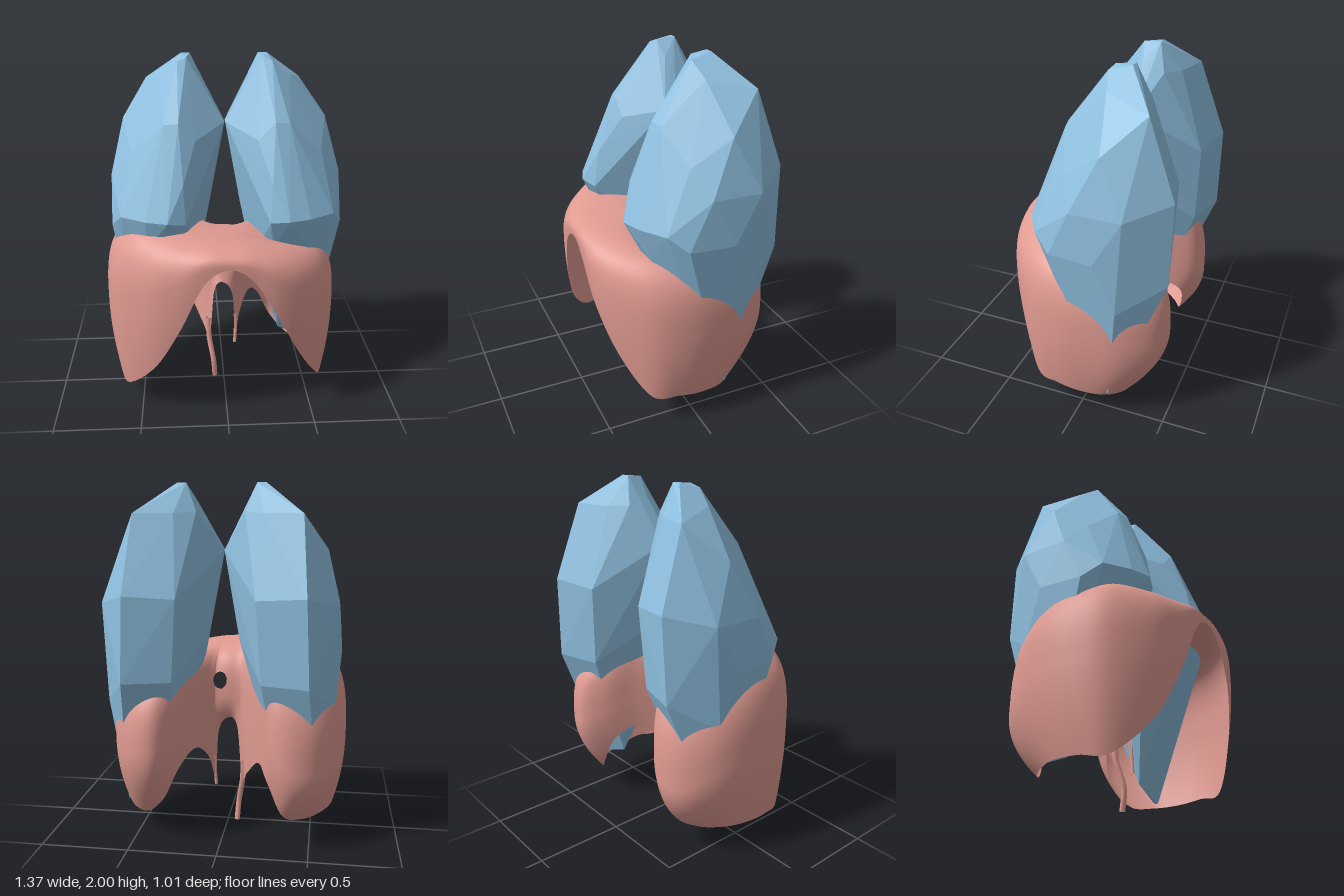
import * as THREE from 'three';
import { ConvexGeometry } from 'three/addons/geometries/ConvexGeometry.js';

const blue = new THREE.MeshStandardMaterial({ color: 0x8fc0e0 });
blue.name = 'lungBlue';
const pink = new THREE.MeshStandardMaterial({ color: 0xe09b92, side: THREE.DoubleSide });
pink.name = 'muscleRose';

// Faceted lung: corner points of the left side, mirrored for the right
const LUNG = [
  [0.2, 2.0, -0.2], [0.25, 2.0, -0.2], [0.22, 1.99, -0.1], [0.27, 1.97, -0.08], [0.15, 1.9, -0.12],
  [0.14, 1.85, -0.24], [0.25, 1.84, -0.31], [0.46, 1.84, -0.36], [0.37, 1.89, -0.11], [0.18, 1.58, 0.13],
  [0.27, 1.68, 0.14], [0.35, 1.67, 0.125], [0.25, 1.37, 0.255], [0.01, 1.64, -0.12], [0.01, 1.64, -0.06],
  [0.59, 1.65, -0.16], [0.54, 1.5, 0.05], [0.22, 1.4, -0.45], [0.49, 1.42, -0.51],
  [0.51, 0.95, -0.5], [0.25, 0.95, -0.43], [0.66, 1.36, -0.3], [0.66, 1.36, -0.02], [0.68, 1.1, -0.15],
  [0.66, 1.1, 0.1], [0.6, 1.18, 0.2], [0.34, 1.18, 0.33], [0.46, 1.18, 0.29], [0.24, 1.16, 0.29],
  [0.1, 1.16, -0.06], [0.1, 1.15, -0.16], [0.46, 1.0, 0.23], [0.28, 1.0, 0.22], [0.17, 0.82, -0.03],
  [0.65, 0.8, -0.26], [0.57, 0.17, -0.19], [0.56, 0.17, -0.16], [0.36, 0.25, -0.17]
];

function lung(side, name) {
  const pts = LUNG.map(([x, y, z]) => new THREE.Vector3(side > 0 ? x : 0.015 - x * 0.985, y, z));
  const mesh = new THREE.Mesh(new ConvexGeometry(pts), blue);
  mesh.name = name;
  return mesh;
}

// Diaphragm stations around the body: x, z of the widest point, its height, rim height, inward tuck
const LEFT = [
  [0, 0.5, 0.99, 0.985, 0], [0.13, 0.5, 0.97, 0.92, 0], [0.28, 0.49, 0.85, 0.68, 0.04],
  [0.43, 0.42, 0.72, 0.41, 0.1], [0.58, 0.27, 0.6, 0.18, 0.12], [0.64, 0.1, 0.58, 0.17, 0.15],
  [0.645, -0.08, 0.6, 0.15, 0.17], [0.61, -0.28, 0.58, 0.14, 0.2], [0.5, -0.44, 0.56, 0.14, 0.25],
  [0.36, -0.48, 0.56, 0.25, 0.2], [0.25, -0.38, 0.62, 0.43, 0.1], [0.17, -0.22, 0.7, 0.51, 0.05],
  [0.11, -0.12, 0.75, 0.42, 0.1], [0.078, -0.08, 0.78, 0.27, 0.15], [0.06, -0.07, 0.78, 0.56, 0.15]
];
const RIGHT = [
  [0, -0.07, 0.8, 0.65, 0.15], [-0.06, -0.07, 0.78, 0.6, 0.15], [-0.093, -0.08, 0.78, 0.28, 0.15],
  [-0.135, -0.13, 0.75, 0.34, 0.1], [-0.21, -0.26, 0.7, 0.45, 0.05], [-0.28, -0.42, 0.62, 0.38, 0.1],
  [-0.39, -0.47, 0.48, 0.18, 0.2], [-0.53, -0.42, 0.46, 0.14, 0.25], [-0.64, -0.28, 0.55, 0.14, 0.25],
  [-0.69, -0.1, 0.6, 0.15, 0.2], [-0.68, 0.1, 0.6, 0.15, 0.15], [-0.61, 0.27, 0.65, 0.15, 0.12],
  [-0.43, 0.42, 0.75, 0.34, 0.1], [-0.27, 0.48, 0.85, 0.61, 0.04], [-0.13, 0.5, 0.97, 0.9, 0]
];

function diaphragm() {
  const keys = [...LEFT, ...RIGHT];
  const curve = f => new THREE.CatmullRomCurve3(keys.map(f), true, 'catmullrom', 0.5);
  const wall = curve(k => new THREE.Vector3(k[0], k[3], k[1]));
  const form = curve(k => new THREE.Vector3(k[2], k[4], 0));
  const nu = keys.length * 8, nDome = 24, nWall = 16, nv = nDome + nWall;
  const pos = [], index = [], onHole = [];

  for (let i = 0; i < nu; i++) {
    const w = wall.getPoint(i / nu), f = form.getPoint(i / nu);
    const eq = f.x, rim = Math.min(w.y, eq - 0.005), tuck = Math.max(f.y, 0);
    // each section runs from a ridge line out over the shoulder and down to the rim
    const sx = w.x * 0.5, sz = 0.2;
    const sy = 1.085 - 0.1 * sx - 0.5 * Math.max(sx, 0) ** 2;
    for (let j = 0; j <= nv; j++) {
      let h, y;
      if (j <= nDome) {
        const a = (j / nDome) * Math.PI / 2;
        h = Math.pow(Math.sin(a), 0.67);
        y = eq + (sy - eq) * Math.pow(Math.max(Math.cos(a), 0), 0.67);
      } else {
        const t = (j - nDome) / nWall;
        h = 1 - tuck * t * t;
        y = eq + (rim - eq) * t;
      }
      let x = sx + (w.x - sx) * h;
      const z = sz + (w.z - sz) * h;
      // oval opening in the rear wall: push inner points onto its edge
      let hole = false;
      if (z < 0.15 && z > -0.15) {
        const dx = (x - 0.04) / 0.04, dy = (y - 0.885) / 0.05, r = Math.hypot(dx, dy);
        if (r < 1) {
          hole = true;
          x = 0.04 + 0.04 * dx / Math.max(r, 1e-4);
          y = 0.885 + 0.05 * dy / Math.max(r, 1e-4);
        }
      }
      pos.push(x, y, z);
      onHole.push(hole);
    }
  }
  const tri = (a, b, c) => {
    if (!(onHole[a] && onHole[b] && onHole[c])) index.push(a, b, c);
  };
  for (let i = 0; i < nu; i++) {
    for (let j = 0; j < nv; j++) {
      const a = i * (nv + 1) + j, b = ((i + 1) % nu) * (nv + 1) + j;
      tri(a, a + 1, b);
      tri(b, a + 1, b + 1);
    }
  }
  const geo = new THREE.BufferGeometry();
  geo.setAttribute('position', new THREE.Float32BufferAttribute(pos, 3));
  geo.setIndex(index);
  geo.computeVertexNormals();
  const mesh = new THREE.Mesh(geo, pink);
  mesh.name = 'diaphragm';
  return mesh;
}

// Slim tendon hanging from the rear wall
function tendon(points, radius, name) {
  const path = new THREE.CatmullRomCurve3(points.map(p => new THREE.Vector3(...p)));
  const mesh = new THREE.Mesh(new THREE.TubeGeometry(path, 20, radius, 8), pink);
  mesh.name = name;
  return mesh;
}

export function createModel() {
  const group = new THREE.Group();
  group.name = 'lungsAndDiaphragm';
  group.add(
    lung(1, 'leftLung'),
    lung(-1, 'rightLung'),
    diaphragm(),
    tendon([[-0.095, 0.4, -0.05], [-0.09, 0.27, -0.035], [-0.065, 0.12, 0], [-0.056, 0, -0.015]], 0.016, 'rightTendon'),
    tendon([[0.075, 0.42, -0.05], [0.075, 0.32, -0.04], [0.07, 0.23, -0.03]], 0.01, 'leftTendon')
  );
  return group;
}
